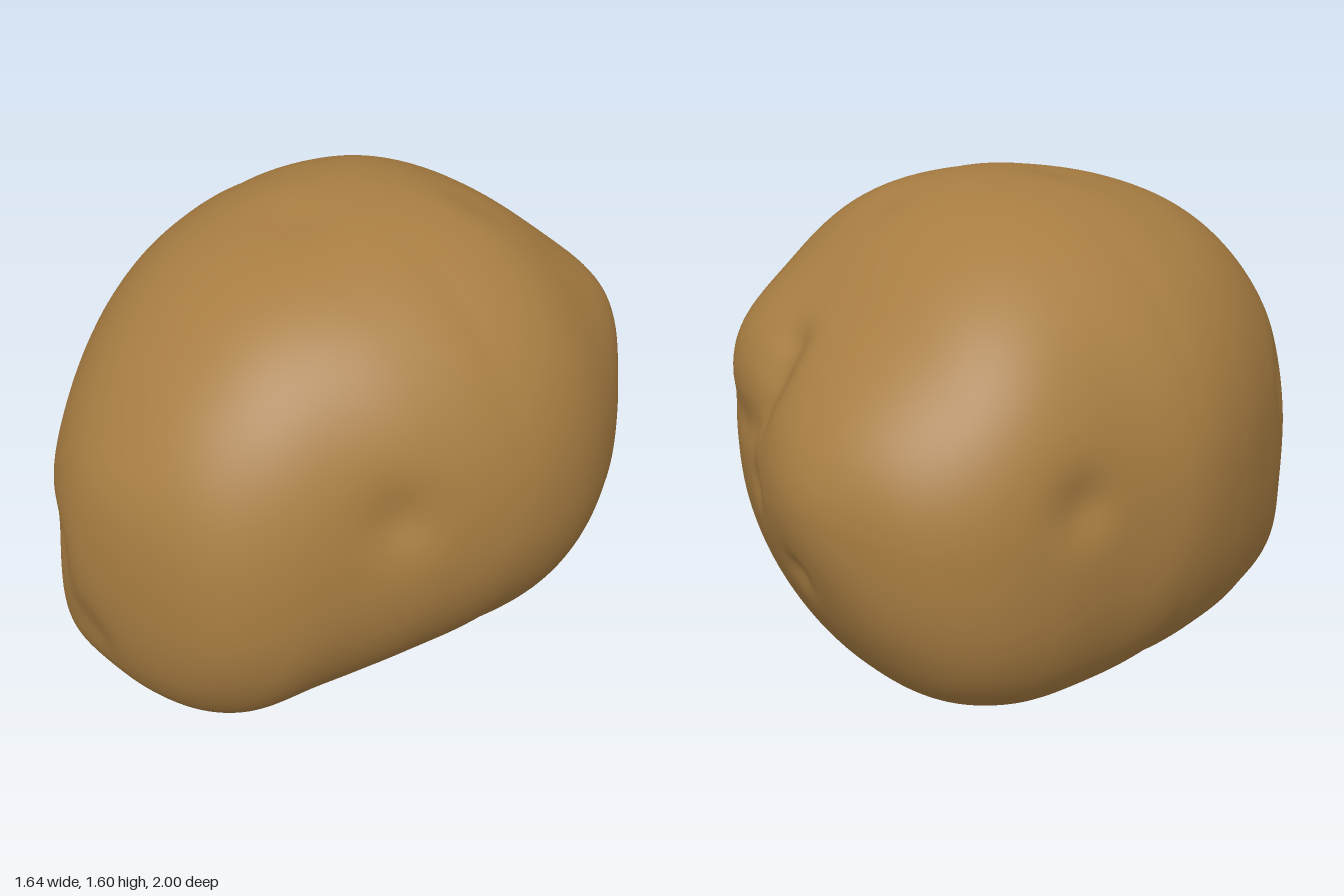
import * as THREE from 'three';
import { mergeVertices } from 'three/addons/utils/BufferGeometryUtils.js';

// Cross-sections from the front end to the back end: [xMin, xMax, yMin, yMax],
// spaced evenly in t where z = cos(t)
const SECTIONS = [
  [-0.05, -0.05, 0.65, 0.65],
  [-0.21, 0.19, 0.36, 0.94],
  [-0.39, 0.42, 0.17, 1.13],
  [-0.53, 0.55, 0.03, 1.31],
  [-0.65, 0.64, 0.01, 1.46],
  [-0.76, 0.75, 0.02, 1.55],
  [-0.82, 0.82, 0.01, 1.60],
  [-0.78, 0.80, 0.01, 1.58],
  [-0.75, 0.70, 0.07, 1.47],
  [-0.68, 0.54, 0.19, 1.30],
  [-0.55, 0.24, 0.41, 1.13],
  [-0.36, 0.00, 0.65, 0.98],
  [-0.19, -0.19, 0.84, 0.84],
];

// Surface features: [x, y, z, radius, height]; negative heights are hollows
const FEATURES = [
  // lump and diagonal valley low on the front
  [-0.34, 0.24, 0.80, 0.18, 0.05],
  [-0.48, 0.85, 0.70, 0.12, -0.02],
  [-0.27, 0.62, 0.90, 0.12, -0.03],
  [-0.08, 0.40, 0.92, 0.12, -0.03],
  // eyes
  [0.69, 0.95, 0.38, 0.11, -0.035],
  [-0.74, 0.88, -0.42, 0.10, -0.04],
  [0.50, 0.36, -0.44, 0.08, -0.035],
  [-0.10, 0.60, -0.92, 0.06, -0.025],
  [0.00, 1.57, 0.15, 0.11, -0.012],
  [0.20, 1.53, -0.35, 0.09, -0.012],
  [-0.42, 0.90, 0.68, 0.08, -0.012],
  // shoulder beside the rear lobe, and the lobe itself
  [0.36, 1.10, -0.66, 0.20, 0.06],
  [-0.15, 1.05, -0.86, 0.22, 0.02],
  // crease running down between lobe and shoulder, then under the shoulder
  [0.11, 1.19, -0.75, 0.07, -0.04],
  [0.11, 1.09, -0.79, 0.07, -0.06],
  [0.13, 0.99, -0.82, 0.07, -0.06],
  [0.21, 0.92, -0.80, 0.07, -0.05],
  [0.32, 0.90, -0.77, 0.07, -0.03],
  [0.43, 0.91, -0.71, 0.06, -0.02],
  [0.14, 0.78, -0.87, 0.07, -0.025],
];

// Catmull-Rom blend of one section value, mirrored past the ends so they stay round
function sectionValue(k, s) {
  const n = SECTIONS.length - 1;
  const i = Math.min(Math.floor(s), n - 1);
  const f = s - i;
  const value = (m) => {
    if (m < 0) return 2 * SECTIONS[0][k] - SECTIONS[1][k];
    if (m > n) return 2 * SECTIONS[n][k] - SECTIONS[n - 1][k];
    return SECTIONS[m][k];
  };
  const [a, b, c, d] = [i - 1, i, i + 1, i + 2].map(value);
  return b + 0.5 * f * (c - a + f * (2 * a - 5 * b + 4 * c - d + f * (3 * (b - c) + d - a)));
}

function tuberGeometry(rings, sides) {
  const positions = [];
  const indices = [];
  const p = new THREE.Vector3();
  const out = new THREE.Vector3();
  const at = new THREE.Vector3();
  for (let i = 0; i <= rings; i++) {
    const u = i / rings;
    const z = Math.cos(u * Math.PI);
    const [x0, x1, y0, y1] = [0, 1, 2, 3].map((k) => sectionValue(k, u * (SECTIONS.length - 1)));
    // sections grow slightly squarer away from the middle
    const power = 2.05 + 0.6 * Math.sin(u * Math.PI) ** 2 * Math.abs(z);
    for (let j = 0; j < sides; j++) {
      const a = (j / sides) * Math.PI * 2;
      const r = (Math.abs(Math.cos(a)) ** power + Math.abs(Math.sin(a)) ** power) ** (-1 / power);
      const sin = r * Math.sin(a);
      p.set((x0 + x1) / 2 + ((x1 - x0) / 2) * r * Math.cos(a), (y0 + y1) / 2 + ((y1 - y0) / 2) * sin, z);
      // the underside leans to one side
      if (sin < 0) p.x -= 0.14 * sin * sin * Math.sin(u * Math.PI);
      // push the surface in or out around each feature
      out.set(p.x, p.y - 0.8, p.z * 0.8).normalize();
      let push = 0;
      for (const [fx, fy, fz, radius, height] of FEATURES) {
        push += height * Math.exp(-p.distanceToSquared(at.set(fx, fy, fz)) / (radius * radius));
      }
      p.addScaledVector(out, push);
      positions.push(p.x, Math.max(p.y, 0), p.z);
      if (i < rings) {
        const k = (j + 1) % sides;
        const [q, b, c, d] = [i * sides + j, i * sides + k, (i + 1) * sides + j, (i + 1) * sides + k];
        if (i > 0) indices.push(q, c, b);
        if (i < rings - 1) indices.push(b, c, d);
      }
    }
  }
  const rawGeometry = new THREE.BufferGeometry();
  rawGeometry.setAttribute('position', new THREE.Float32BufferAttribute(positions, 3));
  rawGeometry.setIndex(indices);
  const geometry = mergeVertices(rawGeometry, 1e-5);
  geometry.computeVertexNormals();
  return geometry;
}

export function createModel() {
  const group = new THREE.Group();
  group.name = 'potato';
  const skin = new THREE.MeshStandardMaterial({ color: 0xa87d42 });
  skin.name = 'brown skin';
  const tuber = new THREE.Mesh(tuberGeometry(112, 144), skin);
  tuber.name = 'tuber';
  group.add(tuber);
  return group;
}
